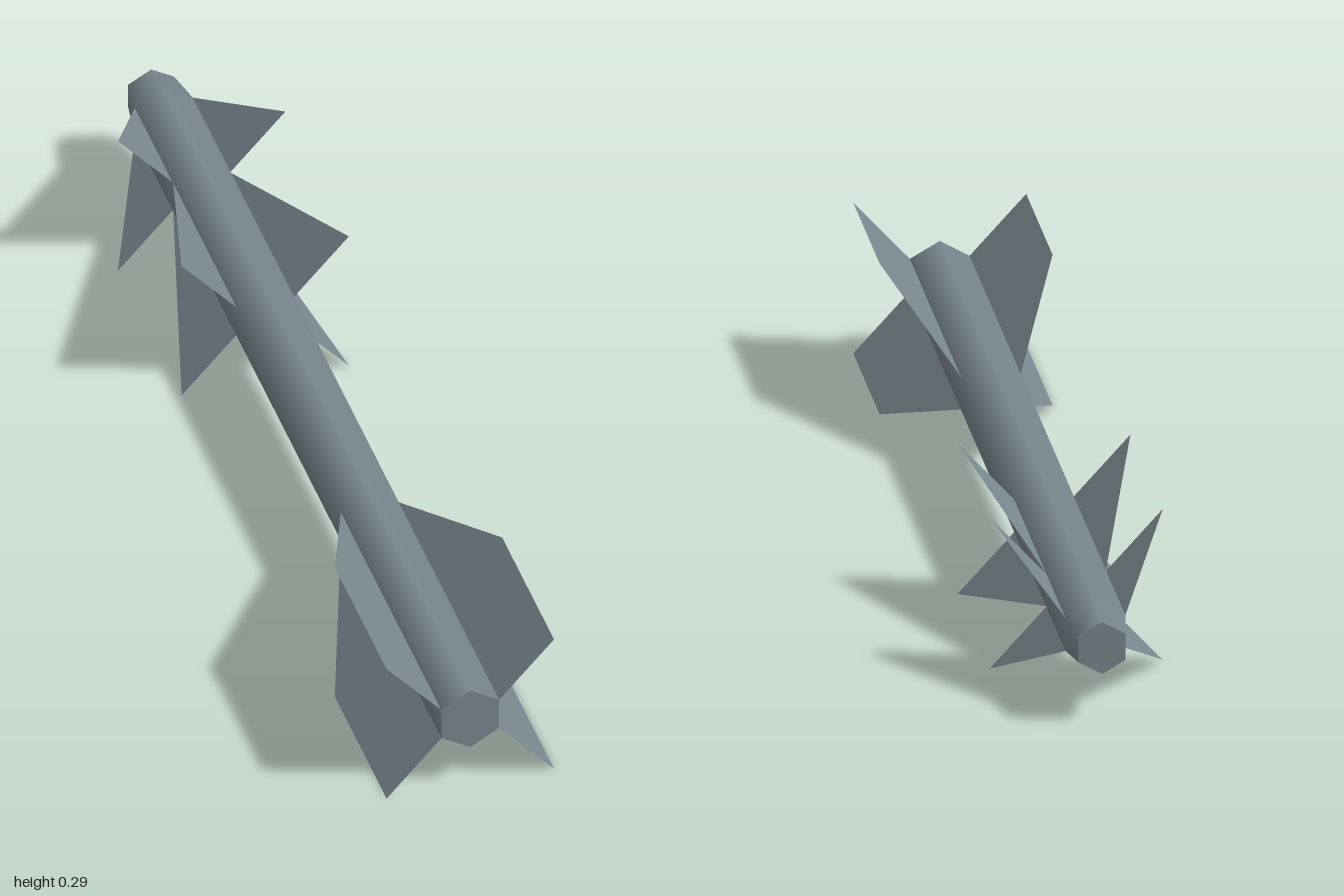
import * as THREE from 'three';

const CENTER_Y = 0.145;
const RADIUS = 0.063;

export function createModel() {
  const model = new THREE.Group();
  const grey = new THREE.MeshStandardMaterial({ color: 0x78868e, side: THREE.DoubleSide });
  grey.name = 'steel grey';

  const add = (name, geometry) => {
    const mesh = new THREE.Mesh(geometry, grey);
    mesh.name = name;
    model.add(mesh);
  };

  // Six-sided tube section along z, with a ridge at the top and bottom
  const section = (name, zFront, zBack, rFront, rBack) => {
    const geometry = new THREE.CylinderGeometry(rFront, rBack, zBack - zFront, 6, 1, true);
    geometry.rotateX(-Math.PI / 2);
    geometry.translate(0, CENTER_Y, (zFront + zBack) / 2);
    add(name, geometry);
  };
  section('noseCone', -1, -0.92, 0.05, RADIUS);
  section('forwardBody', -0.92, -0.285, RADIUS, RADIUS);
  section('middleBody', -0.285, 0.38, RADIUS, RADIUS);
  section('tailBody', 0.38, 1, RADIUS, RADIUS);

  // Flat hexagonal end caps
  const cap = (name, z, radius, turn) => {
    const geometry = new THREE.CircleGeometry(radius, 6, Math.PI / 2);
    geometry.rotateY(turn);
    geometry.translate(0, CENTER_Y, z);
    add(name, geometry);
  };
  cap('noseCap', -1, 0.05, Math.PI);
  cap('tailCap', 1, RADIUS, 0);

  // Thin fins spread diagonally from the four side ridges of the body.
  // Outline points are [z, span], with span 0 at the body and 1 at the tip.
  const root = [RADIUS * Math.sin(Math.PI / 3), RADIUS / 2];
  const tip = [0.158, 0.145];
  const fins = (name, outline) => {
    const shape = new THREE.Shape(outline.map(([z, span]) => new THREE.Vector2(z, span)));
    for (const sx of [1, -1]) {
      for (const sy of [1, -1]) {
        const geometry = new THREE.ShapeGeometry(shape);
        const p = geometry.attributes.position;
        for (let i = 0; i < p.count; i++) {
          const z = p.getX(i);
          const span = p.getY(i);
          p.setXYZ(i,
            sx * THREE.MathUtils.lerp(root[0], tip[0], span),
            CENTER_Y + sy * THREE.MathUtils.lerp(root[1], tip[1], span),
            z);
        }
        geometry.computeVertexNormals();
        add(`${name}${sy > 0 ? 'Upper' : 'Lower'}${sx > 0 ? 'Left' : 'Right'}`, geometry);
      }
    }
  };
  fins('noseFin', [[-0.92, 0], [-0.683, 0], [-0.683, 1]]);
  fins('forwardFin', [[-0.68, 0], [-0.285, 0], [-0.285, 1]]);
  fins('tailFin', [[0.37, 0], [1, 0], [1, 1], [0.675, 1]]);

  return model;
}
